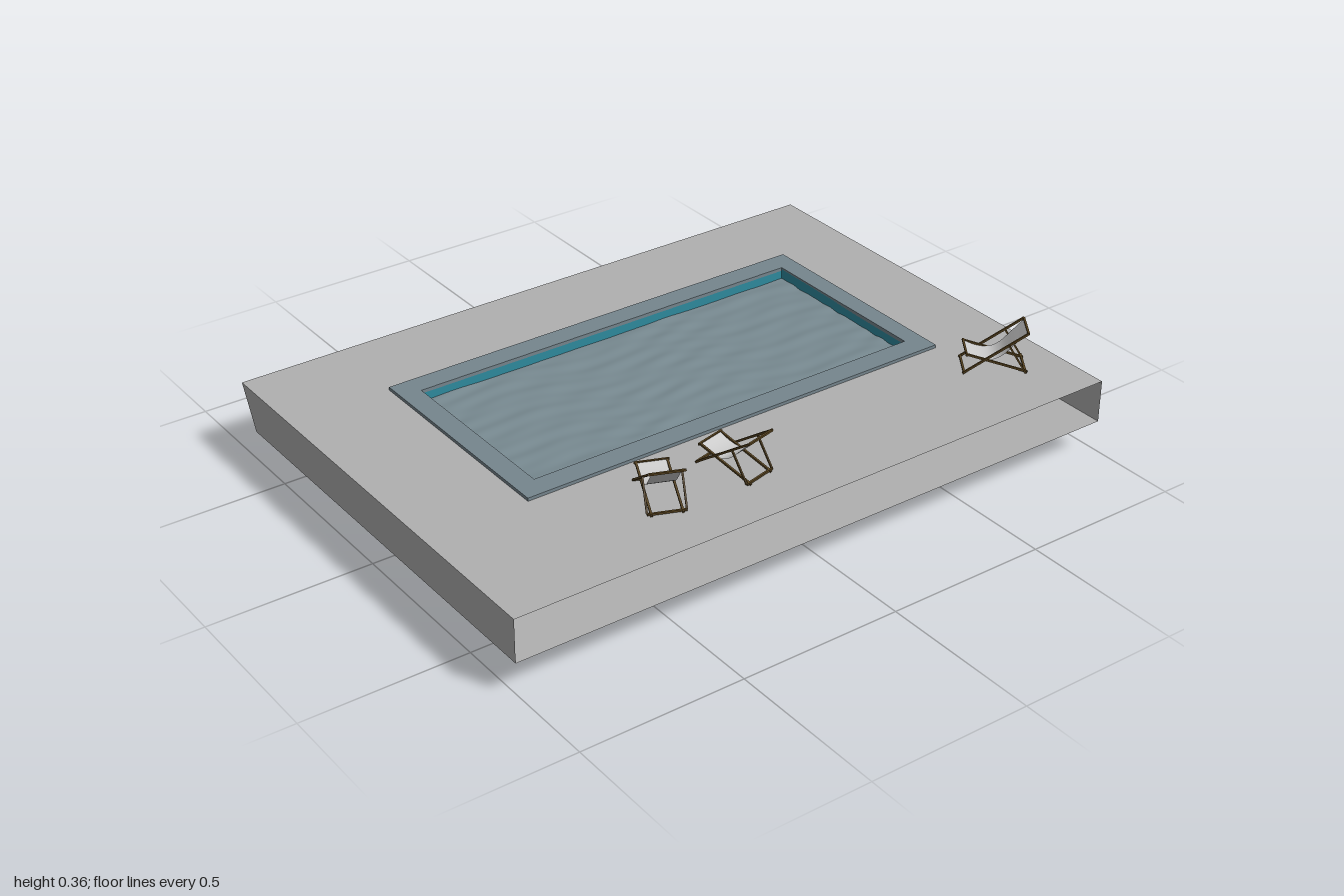
import * as THREE from 'three';

const mat = (name, color) => {
  const m = new THREE.MeshStandardMaterial({ color, side: THREE.DoubleSide });
  m.name = name;
  return m;
};

export function createModel() {
  const deckGrey = mat('deck grey', 0xb0b0b0);
  const copingGrey = mat('coping blue grey', 0x76868e);
  const waterBlue = mat('water blue grey', 0x788a91);
  const poolTeal = mat('pool teal', 0x2f8ca0);
  const wood = mat('dark wood', 0x57431f);
  const cloth = mat('sling cloth', 0xcacaca);

  const root = new THREE.Group();
  root.name = 'swimmingPool';

  const add = (parent, name, geo, material) => {
    const m = new THREE.Mesh(geo, material);
    m.name = name;
    parent.add(m);
    return m;
  };

  // Flat four-cornered panel
  const quad = (a, b, c, d) => {
    const g = new THREE.BufferGeometry();
    g.setAttribute('position', new THREE.Float32BufferAttribute([...a, ...b, ...c, ...d], 3));
    g.setIndex([0, 1, 2, 0, 2, 3]);
    g.computeVertexNormals();
    return g;
  };

  // Rectangle outline in x and z, with optional rectangular hole
  const outline = (Type, [x0, x1, z0, z1]) => new Type([
    new THREE.Vector2(x0, -z0), new THREE.Vector2(x0, -z1),
    new THREE.Vector2(x1, -z1), new THREE.Vector2(x1, -z0),
  ]);
  const plate = (outer, hole) => {
    const s = outline(THREE.Shape, outer);
    if (hole) s.holes.push(outline(THREE.Path, hole));
    return s;
  };

  const copingRect = [-0.68, 0.745, -0.435, 0.29];
  const poolRect = [-0.615, 0.685, -0.365, 0.22];

  // Hollow deck, open at the front, with a sloping back wall
  const deck = new THREE.Group();
  deck.name = 'deck';
  root.add(deck);
  const top = 0.23, low = 0.097, zf = 0.72, zb = -0.72, zbLow = -0.655;
  const hole = [-0.67, 0.735, -0.425, 0.28];
  add(deck, 'deckTop', new THREE.ShapeGeometry(plate([-1, 1, zb, zf], hole)).rotateX(-Math.PI / 2), deckGrey).position.y = top;
  add(deck, 'deckUnderside', new THREE.ShapeGeometry(plate([-1, 1, zbLow, zf], hole)).rotateX(Math.PI / 2).scale(1, 1, -1), deckGrey).position.y = low;
  for (const [name, x] of [['deckRightWall', -1], ['deckLeftWall', 1]]) {
    const pts = [[x, low, zbLow], [x, low, zf], [x, top, zf], [x, top, zb]];
    add(deck, name, quad(...(x < 0 ? pts : pts.reverse())), deckGrey);
  }
  add(deck, 'deckBackWall', quad([1, low, zbLow], [-1, low, zbLow], [-1, top, zb], [1, top, zb]), deckGrey);

  // Basin walls and floor
  const basin = new THREE.Group();
  basin.name = 'basin';
  root.add(basin);
  const [px0, px1, pz0, pz1] = poolRect;
  const corners = [[px0, pz1], [px1, pz1], [px1, pz0], [px0, pz0]];
  corners.forEach(([x, z], i) => {
    const [x2, z2] = corners[(i + 1) % 4];
    add(basin, 'basinWall', quad([x, 0, z], [x2, 0, z2], [x2, 0.234, z2], [x, 0.234, z]), poolTeal);
  });
  add(basin, 'basinFloor', quad([px0, 0, pz0], [px1, 0, pz0], [px1, 0, pz1], [px0, 0, pz1]), copingGrey);

  // Raised coping around the basin
  const coping = new THREE.ExtrudeGeometry(plate(copingRect, poolRect), { depth: 0.011, bevelEnabled: false });
  add(root, 'coping', coping.rotateX(-Math.PI / 2), copingGrey).position.y = 0.229;

  // Rippled water sheet, running on under the deck at one end
  const water = new THREE.PlaneGeometry(1.485, 0.585, 150, 70).rotateX(-Math.PI / 2);
  water.translate(-0.0575, 0.203, -0.0725);
  const p = water.attributes.position;
  for (let i = 0; i < p.count; i++) {
    const x = p.getX(i), z = p.getZ(i);
    const h = Math.sin(70 * z + 9 * x + 2 * Math.sin(8 * x + 5 * z))
      + 0.7 * Math.sin(105 * z - 17 * x + 2 * Math.sin(13 * x))
      + 0.5 * Math.sin(31 * x + 40 * z);
    p.setY(i, 0.203 + 0.0011 * h);
  }
  water.computeVertexNormals();
  add(root, 'water', water, waterBlue);

  // Wooden bar between two points
  const up = new THREE.Vector3(0, 1, 0);
  const bar = (parent, name, a, b, t = 0.006) => {
    const A = new THREE.Vector3(...a), B = new THREE.Vector3(...b);
    const d = B.clone().sub(A);
    const m = add(parent, name, new THREE.BoxGeometry(t, d.length(), t), wood);
    m.position.copy(A).add(B).multiplyScalar(0.5);
    m.quaternion.setFromUnitVectors(up, d.normalize());
  };

  // Folding sling chair: local +z runs from foot end to headrest
  const makeChair = () => {
    const g = new THREE.Group();
    const w = 0.049, v = 0.043;
    for (const s of [-1, 1]) {
      bar(g, 'backRail', [s * w, 0.003, -0.095], [s * w, 0.13, 0.088]);
      bar(g, 'seatRail', [s * v, 0.003, 0.092], [s * v, 0.062, -0.088]);
      bar(g, 'prop', [s * (w + 0.005), 0.092, 0.034], [s * (w + 0.005), 0.006, 0.085], 0.005);
    }
    bar(g, 'headBar', [-w, 0.129, 0.087], [w, 0.129, 0.087]);
    bar(g, 'kneeBar', [-w, 0.061, -0.086], [w, 0.061, -0.086]);
    bar(g, 'frontFootBar', [-w, 0.006, -0.091], [w, 0.006, -0.091]);
    bar(g, 'rearFootBar', [-w - 0.005, 0.006, 0.086], [w + 0.005, 0.006, 0.086]);

    // Hanging cloth following a sagging curve
    const sag = new THREE.CatmullRomCurve3([
      [0.13, 0.086], [0.092, 0.052], [0.056, 0.018], [0.042, -0.012], [0.047, -0.05], [0.063, -0.087],
    ].map(([y, z]) => new THREE.Vector3(0, y, z)));
    const n = 16;
    const sling = new THREE.PlaneGeometry(0.082, 1, 1, n);
    const q = sling.attributes.position;
    for (let i = 0; i < q.count; i++) {
      const c = sag.getPoint(Math.floor(i / 2) / n);
      q.setXYZ(i, (i % 2 ? 1 : -1) * 0.041, c.y, c.z);
    }
    // top of the cloth faces up and towards the foot end
    sling.setIndex(Array.from(sling.index.array).reverse());
    sling.computeVertexNormals();
    add(g, 'sling', sling, cloth);
    return g;
  };

  // Three chairs facing the water, placed by foot and head midpoints
  const spots = [
    [-0.35, 0.385, -0.422, 0.565],
    [-0.158, 0.38, -0.112, 0.568],
    [0.732, 0.412, 0.89, 0.522],
  ];
  spots.forEach(([fx, fz, hx, hz], i) => {
    const chair = makeChair();
    chair.name = 'deckChair' + (i + 1);
    chair.position.set((fx + hx) / 2, top, (fz + hz) / 2);
    chair.rotation.y = Math.atan2(hx - fx, hz - fz);
    root.add(chair);
  });

  return root;
}
